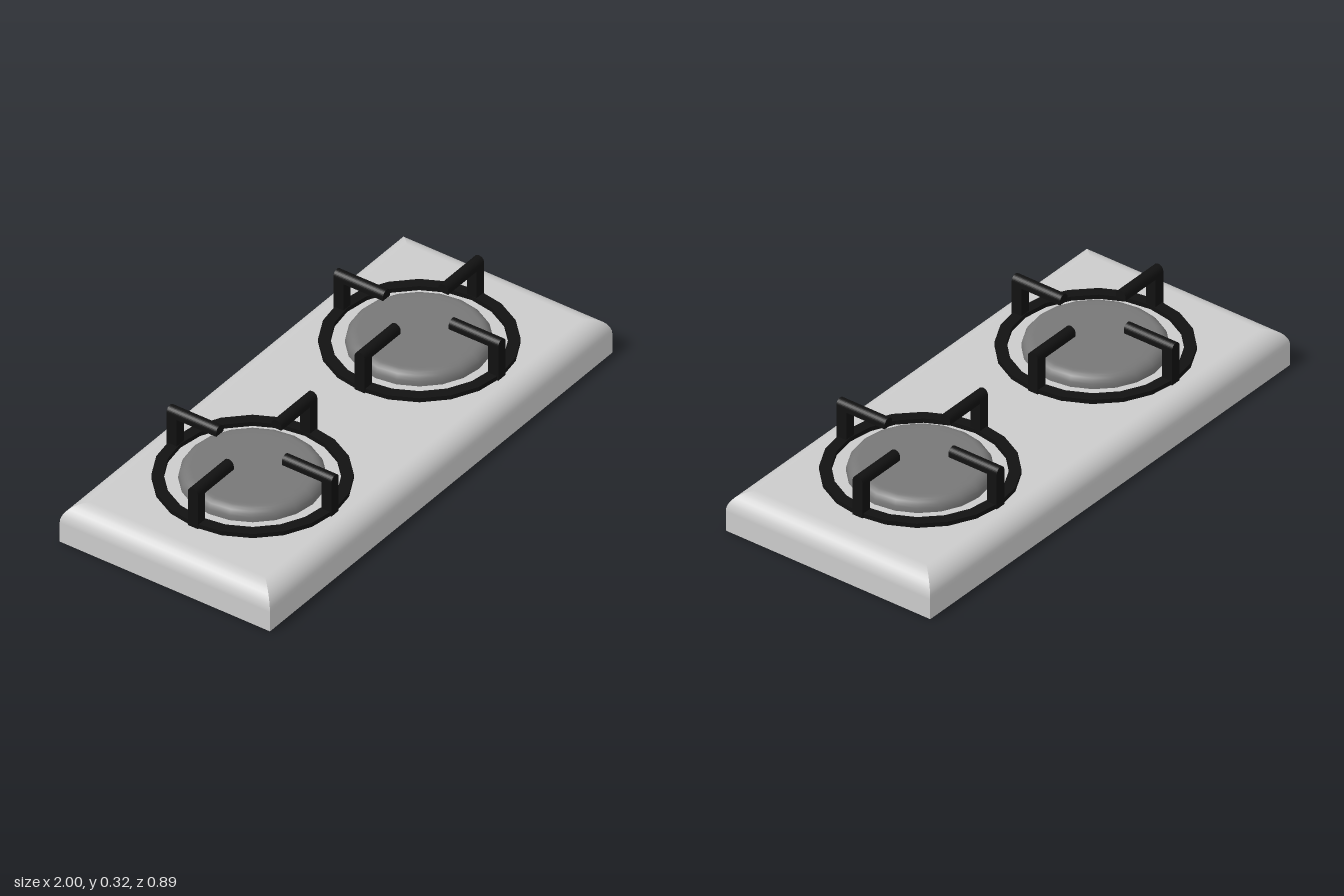
import * as THREE from 'three';

const TOP = 0.155, HX = 1, HZ = 0.445, R = 0.075;
const mat = (color, extra = {}) => new THREE.MeshStandardMaterial({ color, ...extra });

function add(parent, name, geometry, material) {
  const mesh = new THREE.Mesh(geometry, material);
  mesh.name = name;
  parent.add(mesh);
  return mesh;
}

// Slab with sharp mitred corners in plan and a rounded top edge
function bodyGeometry() {
  const pos = [], nor = [], idx = [];
  const rings = [{ inset: 0, y: 0, a: 0 }];
  for (let i = 0; i <= 8; i++) {
    const a = (i / 8) * Math.PI / 2;
    rings.push({ inset: R * (1 - Math.cos(a)), y: TOP - R + R * Math.sin(a), a });
  }
  const corners = [[-1, 1], [1, 1], [1, -1], [-1, -1]];
  const quad = (a, b, c, d) => idx.push(a, b, c, a, c, d);
  const put = ([sx, sz], ring, n) => {
    pos.push(sx * (HX - ring.inset), ring.y, sz * (HZ - ring.inset));
    nor.push(...n);
  };
  // four sides, each swept up the wall and over the rounded edge
  corners.forEach((c, k) => {
    const d = corners[(k + 1) % 4], base = pos.length / 3;
    const out = [(c[0] + d[0]) / 2, (c[1] + d[1]) / 2];
    for (const r of rings) {
      const n = [out[0] * Math.cos(r.a), Math.sin(r.a), out[1] * Math.cos(r.a)];
      put(c, r, n);
      put(d, r, n);
    }
    for (let i = 0; i < rings.length - 1; i++) {
      const b = base + i * 2;
      quad(b, b + 1, b + 3, b + 2);
    }
  });
  // flat top and underside
  let b = pos.length / 3;
  corners.forEach(c => put(c, rings[rings.length - 1], [0, 1, 0]));
  quad(b, b + 1, b + 2, b + 3);
  b += 4;
  corners.forEach(c => put(c, rings[0], [0, -1, 0]));
  quad(b + 3, b + 2, b + 1, b);

  const g = new THREE.BufferGeometry();
  g.setAttribute('position', new THREE.Float32BufferAttribute(pos, 3));
  g.setAttribute('normal', new THREE.Float32BufferAttribute(nor, 3));
  g.setIndex(idx);
  return g;
}

// Bar with a half-round top, running outwards along z from r0 to r1
function barGeometry(y0, y1, r0, r1) {
  const w = 0.021, s = new THREE.Shape();
  s.moveTo(-w, y0);
  s.lineTo(w, y0);
  s.lineTo(w, y1 - w);
  s.absarc(0, y1 - w, w, 0, Math.PI, false);
  s.lineTo(-w, y0);
  const g = new THREE.ExtrudeGeometry(s, { depth: r1 - r0, bevelEnabled: false, curveSegments: 8 });
  return g.translate(0, 0, r0);
}

// Low disc with a quarter-round rim
function capGeometry() {
  const pts = [new THREE.Vector2(0.255, 0)];
  const r = 0.042, h = 0.05;
  for (let i = 0; i <= 6; i++) {
    const a = (i / 6) * Math.PI / 2;
    pts.push(new THREE.Vector2(0.255 - r + r * Math.cos(a), h - r + r * Math.sin(a)));
  }
  pts.push(new THREE.Vector2(0.19, h), new THREE.Vector2(0, h));
  return new THREE.LatheGeometry(pts, 20);
}

export function createModel() {
  const model = new THREE.Group();
  model.name = 'twoBurnerCooktop';
  const grey = mat(0xcccccc), capMat = mat(0x777777);
  const iron = mat(0x111111), ironFlat = mat(0x111111, { flatShading: true });

  add(model, 'body', bodyGeometry(), grey);

  const cap = capGeometry();
  const ring = new THREE.LatheGeometry(
    [[0.347, 0], [0.347, 0.017], [0.305, 0.017], [0.305, 0], [0.347, 0]]
      .map(p => new THREE.Vector2(...p)), 20);
  const post = barGeometry(0, 0.164, 0.306, 0.349);
  const arm = barGeometry(0.129, 0.164, 0.139, 0.306);

  for (const side of [-1, 1]) {
    const burner = new THREE.Group();
    burner.name = side > 0 ? 'leftBurner' : 'rightBurner';
    burner.position.set(side * 0.487, TOP, 0);
    add(burner, 'burnerCap', cap, capMat);
    add(burner, 'grateRing', ring, ironFlat);
    // four hooked pan supports
    for (let i = 0; i < 4; i++) {
      const support = new THREE.Group();
      support.name = 'panSupport';
      support.rotation.y = i * Math.PI / 2;
      add(support, 'supportPost', post, iron);
      add(support, 'supportArm', arm, iron);
      burner.add(support);
    }
    model.add(burner);
  }
  return model;
}
